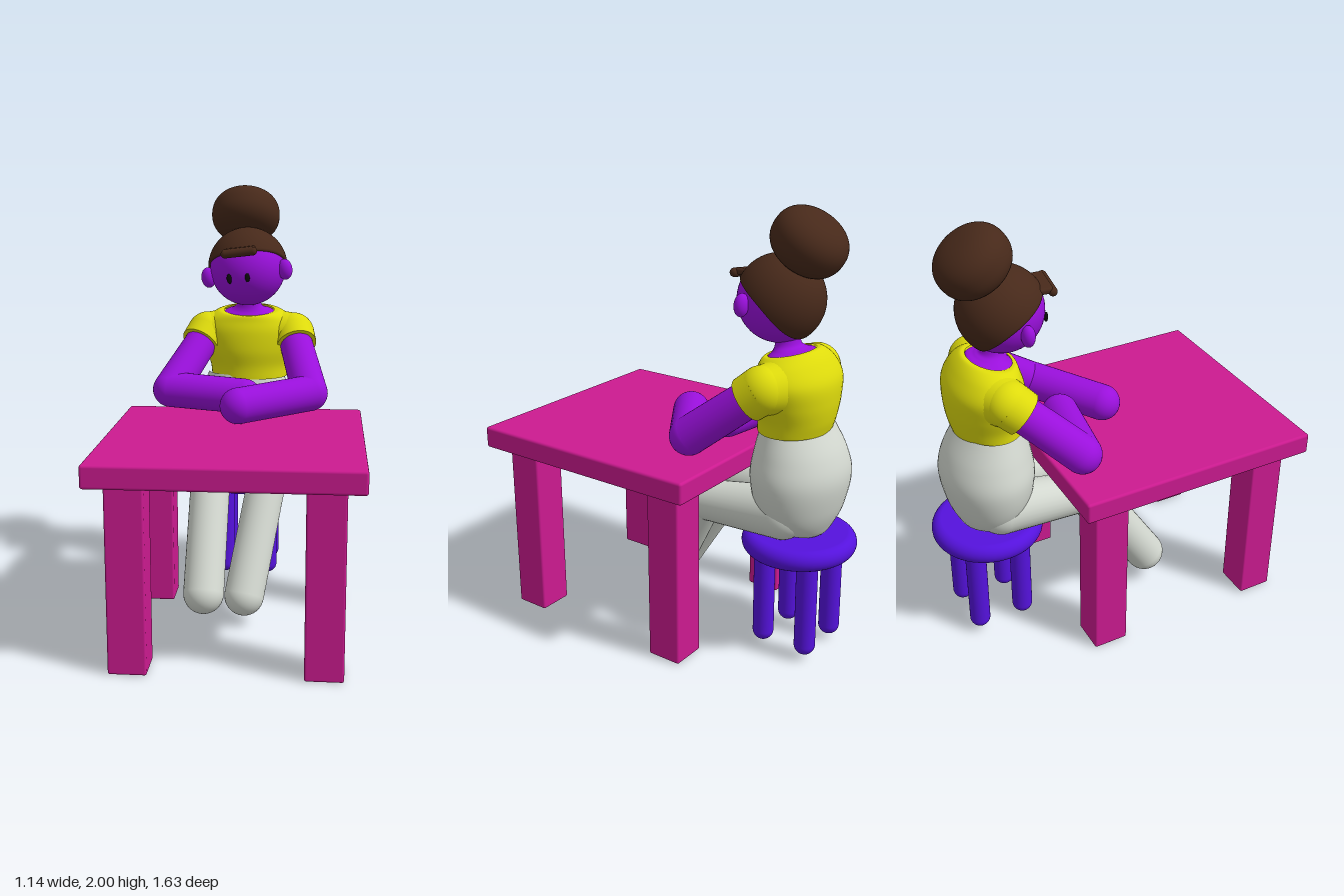
import * as THREE from 'three';
import { mergeGeometries, mergeVertices } from 'three/addons/utils/BufferGeometryUtils.js';
import { RoundedBoxGeometry } from 'three/addons/geometries/RoundedBoxGeometry.js';
import { ParametricGeometry } from 'three/addons/geometries/ParametricGeometry.js';

const mat = (color, side = THREE.FrontSide) => new THREE.MeshStandardMaterial({ color, side });
const skin = mat(0x9a10dc), yellow = mat(0xdedb0c, THREE.DoubleSide), trousers = mat(0xd3d8d0);
const pink = mat(0xcc1a90), violet = mat(0x5512dd), brown = mat(0x47291a, THREE.DoubleSide), black = mat(0x0a0a0a);
const V = (x, y, z) => new THREE.Vector3(x, y, z);

function add(parent, name, geometry, material, x = 0, y = 0, z = 0) {
  const mesh = new THREE.Mesh(geometry, material);
  mesh.name = name;
  mesh.position.set(x, y, z);
  parent.add(mesh);
  return mesh;
}

// Smooth surface from a rule, welded along its seam
function surface(rule, slices, stacks) {
  const g = new ParametricGeometry(rule, slices, stacks);
  g.deleteAttribute('uv');
  g.deleteAttribute('normal');
  const welded = mergeVertices(g, 1e-5);
  welded.computeVertexNormals();
  return welded;
}

// Body of oval rings [y, centreZ, radiusX, radiusZ, forward dip], listed from the bottom up
function loft(rings, cx = 0) {
  const centres = new THREE.CatmullRomCurve3(rings.map(r => V(r[4] || 0, r[0], r[1])), false, 'catmullrom');
  const radii = new THREE.CatmullRomCurve3(rings.map(r => V(r[2], r[3], 0)), false, 'catmullrom');
  return surface((u, v, p) => {
    const c = centres.getPoint(v), r = radii.getPoint(v), a = (u % 1) * Math.PI * 2;
    p.set(cx + Math.sin(a) * r.x, c.y - c.x * Math.cos(a), c.z + Math.cos(a) * r.y);
  }, 48, 40);
}

// Tapered rod between two points
function rod(a, b, ra, rb, open = true) {
  const d = b.clone().sub(a), g = new THREE.CylinderGeometry(rb, ra, d.length(), 32, 1, open);
  g.applyQuaternion(new THREE.Quaternion().setFromUnitVectors(V(0, 1, 0), d.normalize()));
  const m = a.clone().add(b).multiplyScalar(0.5);
  return g.translate(m.x, m.y, m.z);
}

// Round-ended limb through joints [x, y, z, radius]
function limb(joints) {
  const parts = [];
  joints.forEach(([x, y, z, r], i) => {
    parts.push(new THREE.SphereGeometry(r, 32, 20).translate(x, y, z));
    if (i) {
      const q = joints[i - 1];
      parts.push(rod(V(q[0], q[1], q[2]), V(x, y, z), q[3], r));
    }
  });
  return mergeGeometries(parts);
}

function buildTable() {
  const table = new THREE.Group();
  table.name = 'table';
  add(table, 'tableTop', new RoundedBoxGeometry(1.14, 0.1, 1.14, 3, 0.012), pink, 0, 0.88, 0.25);
  for (const x of [-0.41, 0.41]) for (const z of [-0.16, 0.66])
    add(table, 'tableLeg', new RoundedBoxGeometry(0.165, 0.84, 0.165, 3, 0.01), pink, x, 0.425, z);
  return table;
}

function buildStool() {
  const stool = new THREE.Group();
  stool.name = 'stool';
  const rim = [new THREE.Vector2(0, -0.048)];
  for (let i = 0; i <= 12; i++) {
    const a = -Math.PI / 2 + Math.PI * i / 12;
    rim.push(new THREE.Vector2(0.212 + 0.046 * Math.cos(a), 0.048 * Math.sin(a)));
  }
  rim.push(new THREE.Vector2(0, 0.048));
  add(stool, 'stoolSeat', new THREE.LatheGeometry(rim, 48), violet, 0, 0.525, -0.555);
  for (const x of [-0.11, 0.11]) for (const z of [-0.445, -0.665])
    add(stool, 'stoolLeg', limb([[x, 0.078, z, 0.048], [x, 0.5, z, 0.048]]), violet);
  return stool;
}

function buildHead() {
  const head = new THREE.Group();
  head.name = 'head';
  head.position.set(0.007, 1.61, -0.428);
  head.rotation.set(0, -0.1, 0.12);
  add(head, 'face', new THREE.SphereGeometry(0.185, 48, 32), skin);
  for (const s of [-1, 1]) {
    add(head, 'ear', new THREE.SphereGeometry(1, 24, 16), skin, s * 0.19, -0.025, 0.055).scale.set(0.036, 0.05, 0.03);
    add(head, 'eye', new THREE.SphereGeometry(1, 20, 14), black, s * 0.044 - 0.02, -0.035, 0.177).scale.set(0.012, 0.024, 0.009);
  }
  // Hair cap: reaches lower at front and nape than above the ears, edge turned in
  const hair = surface((u, v, p) => {
    const phi = -(u % 1) * Math.PI * 2, f = Math.cos(phi);
    const end = THREE.MathUtils.degToRad(88 + (f > 0 ? 9 : 18) * f * f);
    const theta = end * Math.min(1, v / 0.92);
    const r = v > 0.92 ? 0.195 - 0.022 * (v - 0.92) / 0.08 : 0.195;
    p.set(Math.sin(phi) * Math.sin(theta) * r, Math.cos(theta) * r, f * Math.sin(theta) * r);
  }, 56, 36);
  add(head, 'hairCap', hair, brown).rotation.x = -0.61;
  // Rolled fringe
  add(head, 'fringe', limb([[-0.065, 0.085, 0.205, 0.02], [0.07, 0.085, 0.205, 0.02]]), brown);
  add(head, 'fringeBase', new RoundedBoxGeometry(0.15, 0.03, 0.075, 3, 0.012), brown, 0, 0.093, 0.17);
  return head;
}

function buildPerson() {
  const person = new THREE.Group();
  person.name = 'seatedWoman';

  add(person, 'hips', loft([
    [0.57, -0.58, 0.002, 0.002], [0.575, -0.58, 0.09, 0.08], [0.63, -0.565, 0.185, 0.135], [0.72, -0.55, 0.24, 0.185],
    [0.85, -0.547, 0.262, 0.209], [0.96, -0.54, 0.235, 0.19], [1.08, -0.522, 0.185, 0.145],
  ], -0.01), trousers);
  add(person, 'shirt', loft([
    [1.06, -0.522, 0.19, 0.153], [1.12, -0.53, 0.198, 0.162], [1.2, -0.53, 0.225, 0.172], [1.29, -0.53, 0.245, 0.167],
    [1.355, -0.517, 0.215, 0.14, 0.01], [1.392, -0.5, 0.16, 0.115, 0.02], [1.395, -0.495, 0.125, 0.095, 0.02],
  ], 0.01), yellow);
  add(person, 'neck', loft([
    [1.34, -0.495, 0.15, 0.11, 0.02], [1.385, -0.493, 0.128, 0.097, 0.02], [1.405, -0.485, 0.085, 0.07, 0.01],
    [1.43, -0.475, 0.06, 0.055], [1.49, -0.465, 0.055, 0.052],
  ], 0.01), skin);

  // Arms [shoulder, elbow, hand], folded on the table, with short sleeves
  const arms = {
    left: [[0.232, 1.278, -0.49], [0.322, 1.035, -0.18], [-0.003, 1.015, 0.047]],
    right: [[-0.2, 1.278, -0.5], [-0.355, 1.032, -0.235], [0.008, 1.018, -0.165]],
  };
  for (const [side, [s, e, h]] of Object.entries(arms)) {
    add(person, side + 'Arm', limb([[...s, 0.08], [...e, 0.086], [...h, 0.084]]), skin);
    const a = V(...s), b = a.clone().lerp(V(...e), 0.2), inner = V(s[0] * 0.5, 1.27, -0.53);
    const sleeve = mergeGeometries([
      limb([[inner.x, inner.y, inner.z, 0.125], [...s, 0.104]]),
      rod(a, b, 0.104, 0.1, false),
    ]);
    add(person, side + 'Sleeve', sleeve, yellow);
  }

  // Legs [hip, knee, foot]
  add(person, 'leftLeg', limb([[0.11, 0.69, -0.53, 0.12], [0.13, 0.652, -0.12, 0.092], [0.036, 0.142, 0.17, 0.092]]), trousers);
  add(person, 'rightLeg', limb([[-0.125, 0.69, -0.53, 0.12], [-0.145, 0.652, -0.1, 0.094], [-0.148, 0.164, 0.213, 0.094]]), trousers);

  person.add(buildHead());

  // Bun: a flattened, slightly squared ball leaning back
  const profile = [];
  for (let i = 0; i <= 32; i++) {
    const a = -Math.PI / 2 + Math.PI * i / 32, c = Math.max(0, Math.cos(a)), s = Math.sin(a);
    profile.push(new THREE.Vector2(0.168 * c ** 0.85, 0.12 * Math.sign(s) * Math.abs(s) ** 0.85));
  }
  add(person, 'hairBun', new THREE.LatheGeometry(profile, 48), brown, -0.012, 1.86, -0.547).rotation.x = -0.61;
  return person;
}

export function createModel() {
  const model = new THREE.Group();
  model.name = 'womanAtTable';
  model.add(buildTable(), buildStool(), buildPerson());
  return model;
}
